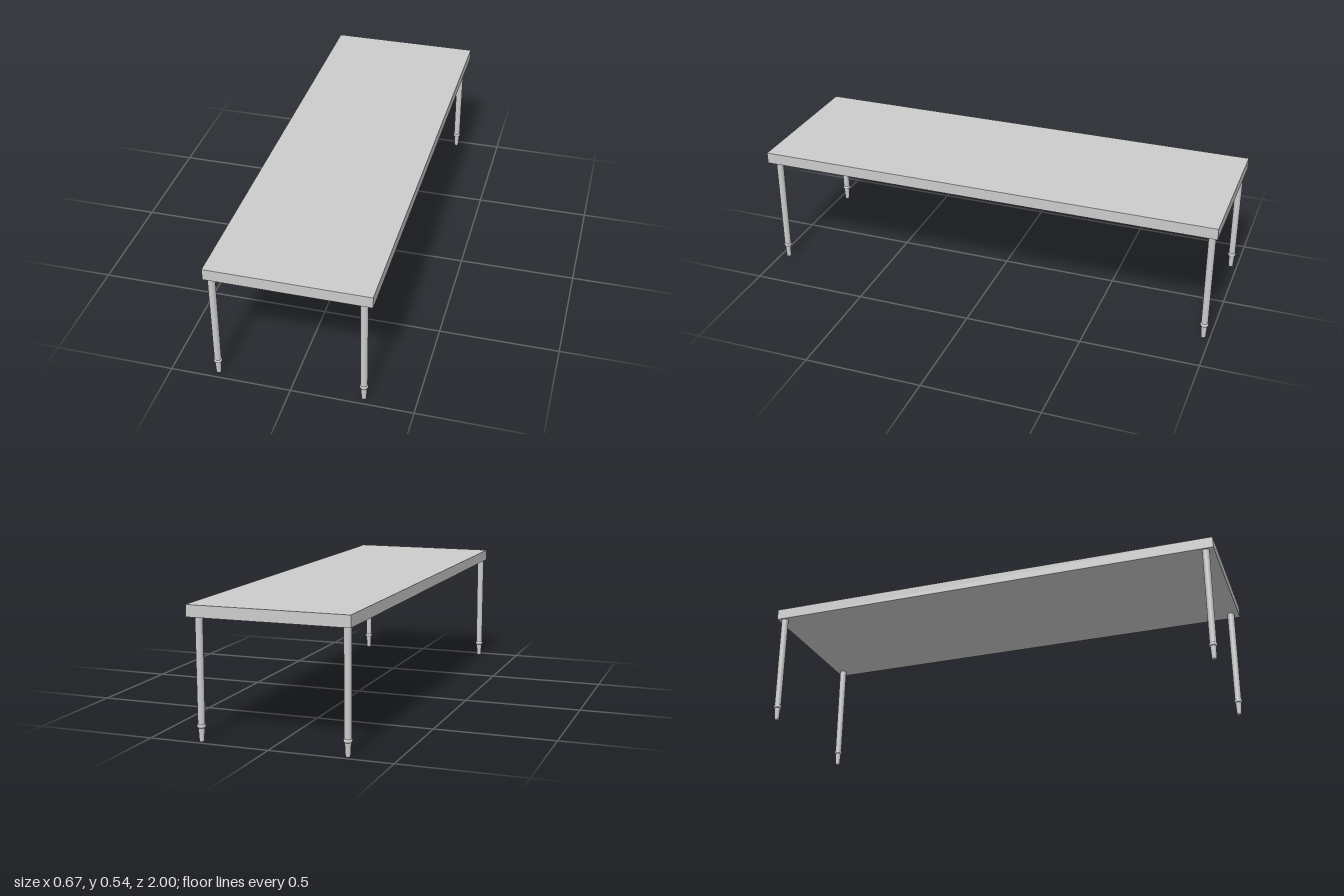
import * as THREE from 'three';

export function createModel() {
  const model = new THREE.Group();
  model.name = 'table';
  const material = new THREE.MeshStandardMaterial({ color: 0xcccccc });

  const add = (name, geometry, parent, y) => {
    const mesh = new THREE.Mesh(geometry, material);
    mesh.name = name;
    mesh.position.y = y;
    parent.add(mesh);
  };

  // Long slab top
  add('tableTop', new THREE.BoxGeometry(0.666, 0.048, 2), model, 0.514);

  // Shared leg parts: slim post, rounded collar, tapered foot
  const post = new THREE.CylinderGeometry(0.0152, 0.0142, 0.43, 32);
  const foot = new THREE.CylinderGeometry(0.0128, 0.0098, 0.056, 32);
  const collarProfile = [new THREE.Vector2(0, -0.0075)];
  for (let i = 0; i <= 10; i++) {
    const a = -Math.PI / 2 + (i / 10) * Math.PI;
    collarProfile.push(new THREE.Vector2(0.0115 + 0.0062 * Math.cos(a), 0.0075 * Math.sin(a)));
  }
  collarProfile.push(new THREE.Vector2(0, 0.0075));
  const collar = new THREE.LatheGeometry(collarProfile, 32);

  // One leg near each corner
  for (const [xName, x] of [['Right', -0.311], ['Left', 0.2915]]) {
    for (const [zName, z] of [['front', 0.965], ['back', -0.972]]) {
      const leg = new THREE.Group();
      leg.name = `${zName}${xName}Leg`;
      leg.position.set(x, 0, z);
      add('post', post, leg, 0.276);
      add('collar', collar, leg, 0.0615);
      add('foot', foot, leg, 0.028);
      model.add(leg);
    }
  }
  return model;
}
